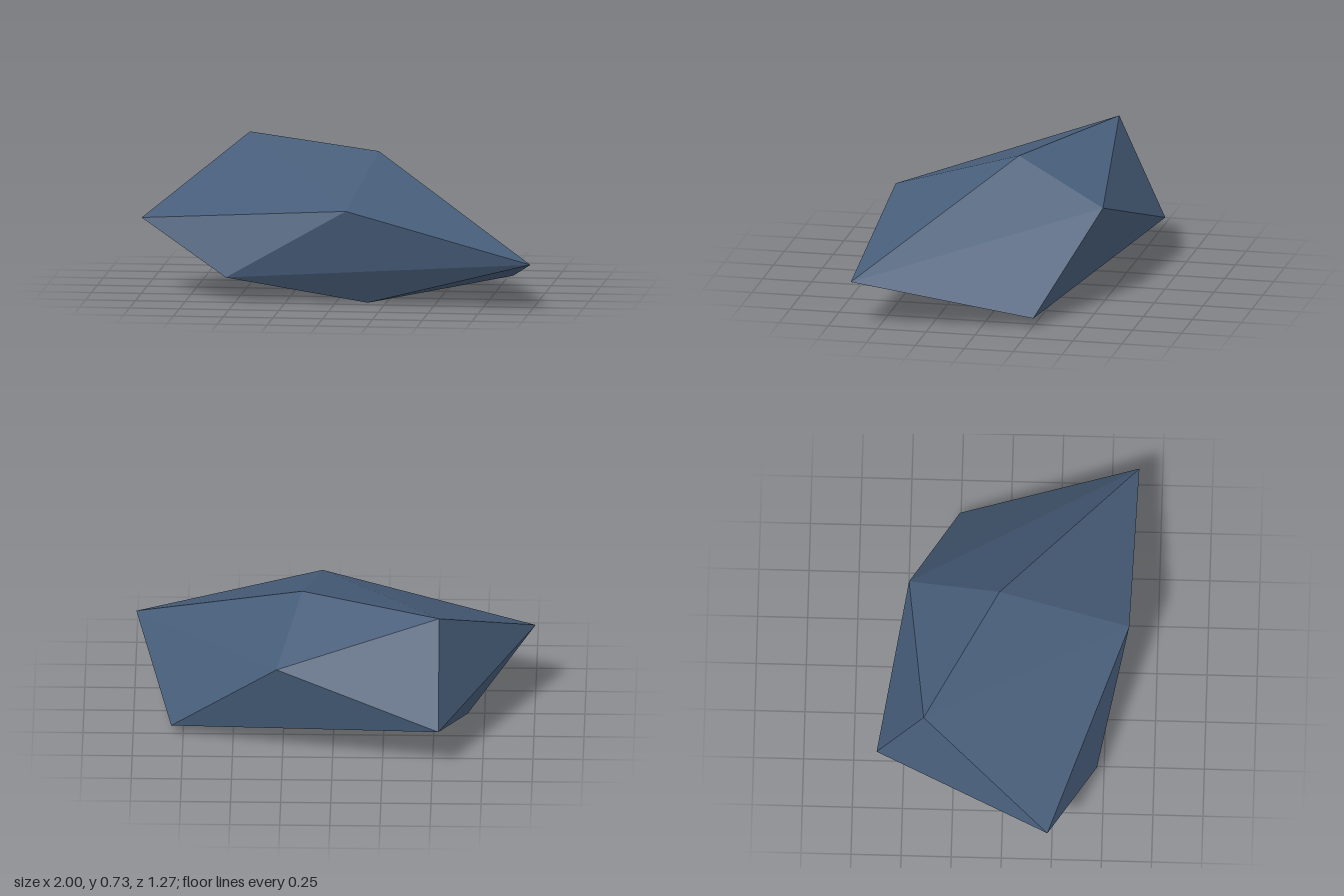
import * as THREE from 'three';
import { ConvexGeometry } from 'three/addons/geometries/ConvexGeometry.js';

// A faceted low-poly rock: the convex shell around its twelve corners.
export function createModel() {
  const slateBlue = new THREE.MeshStandardMaterial({ color: 0x475d79 });
  slateBlue.name = 'slate blue';

  const corners = [
    // crown
    [-0.53, 0.73, -0.40], [0.16, 0.695, -0.04],
    // shoulders
    [0.28, 0.485, -0.495], [0.07, 0.485, 0.61], [-1.0, 0.38, 0.23],
    // outer tips
    [1.0, 0.235, 0.635], [-0.53, 0.215, -0.635],
    // lower rim
    [0.81, 0.047, -0.255], [-0.55, 0.12, 0.465], [-0.67, 0.12, -0.24],
    // ground contact
    [-0.03, 0, -0.17], [0.16, 0, 0.43],
  ].map((p) => new THREE.Vector3(...p));

  const rock = new THREE.Mesh(new ConvexGeometry(corners), slateBlue);
  rock.name = 'rock';

  const model = new THREE.Group();
  model.name = 'facetedRock';
  model.add(rock);
  return model;
}
